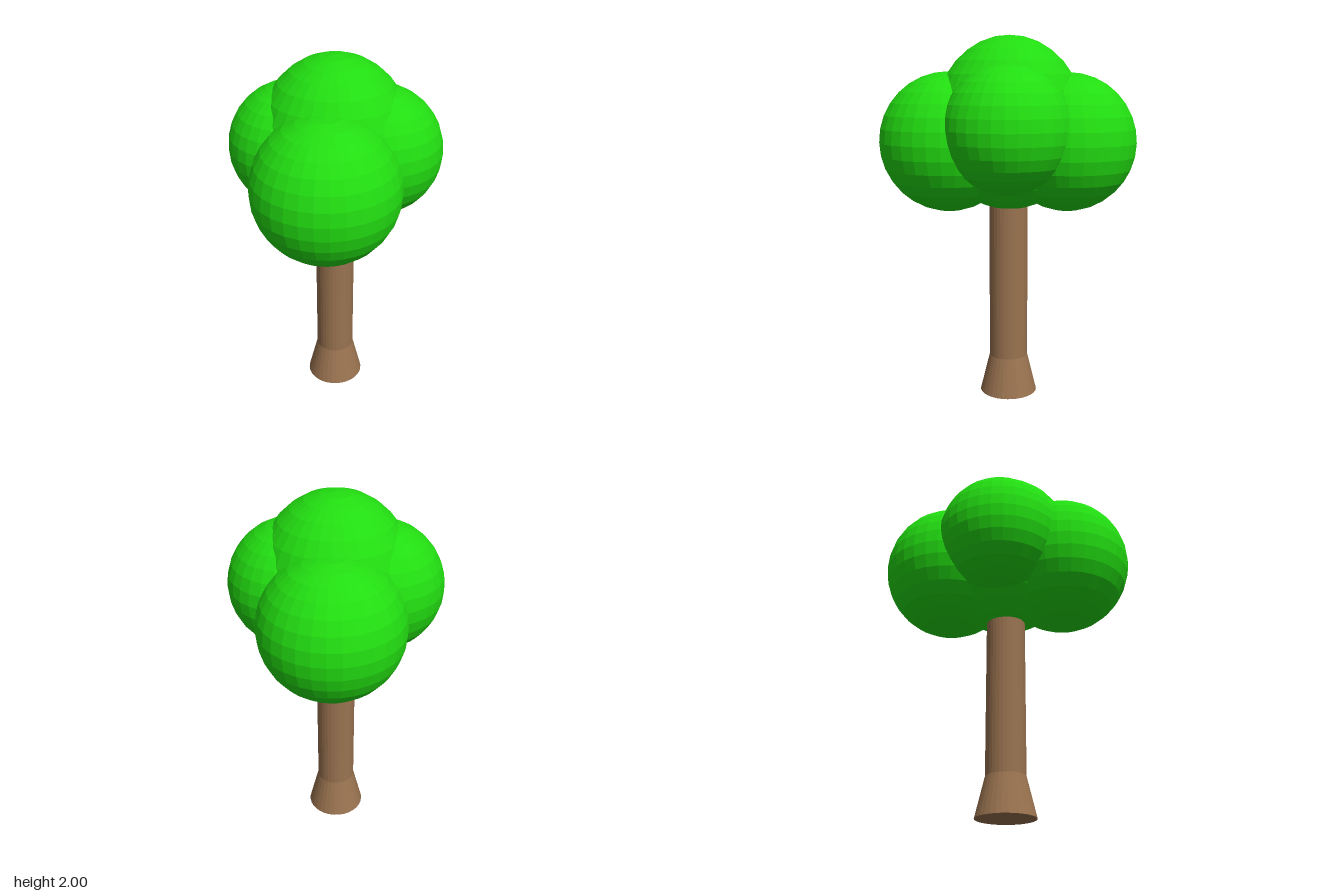
import * as THREE from 'three';

export function createModel() {
  const model = new THREE.Group();
  const leaf = new THREE.MeshStandardMaterial({ color: 0x22dd11, flatShading: true });
  const bark = new THREE.MeshStandardMaterial({ color: 0x9a7350, flatShading: true });

  // Trunk sections: straight stem on a flared foot
  const addTrunk = (name, rTop, rBottom, y0, y1) => {
    const mesh = new THREE.Mesh(new THREE.CylinderGeometry(rTop, rBottom, y1 - y0, 32), bark);
    mesh.name = name;
    mesh.position.set(0, (y0 + y1) / 2, -0.005);
    model.add(mesh);
  };
  addTrunk('trunkFoot', 0.107, 0.16, 0, 0.215);
  addTrunk('trunkStem', 0.107, 0.107, 0.215, 1.2);

  // Foliage balls, each with its own radii
  const ball = new THREE.SphereGeometry(1, 32, 16);
  const addFoliage = (name, position, radii) => {
    const mesh = new THREE.Mesh(ball, leaf);
    mesh.name = name;
    mesh.position.set(...position);
    mesh.scale.set(...radii);
    model.add(mesh);
  };
  addFoliage('crownCentre', [0, 1.53, -0.01], [0.41, 0.47, 0.41]);
  addFoliage('crownFront', [0, 1.43, 0.32], [0.38, 0.38, 0.38]);
  addFoliage('crownBack', [0, 1.43, -0.325], [0.375, 0.375, 0.375]);
  for (const side of [1, -1]) {
    addFoliage(side > 0 ? 'crownLeft' : 'crownRight', [side * 0.22, 1.51, -0.01], [0.34, 0.34, 0.34]);
  }

  return model;
}
